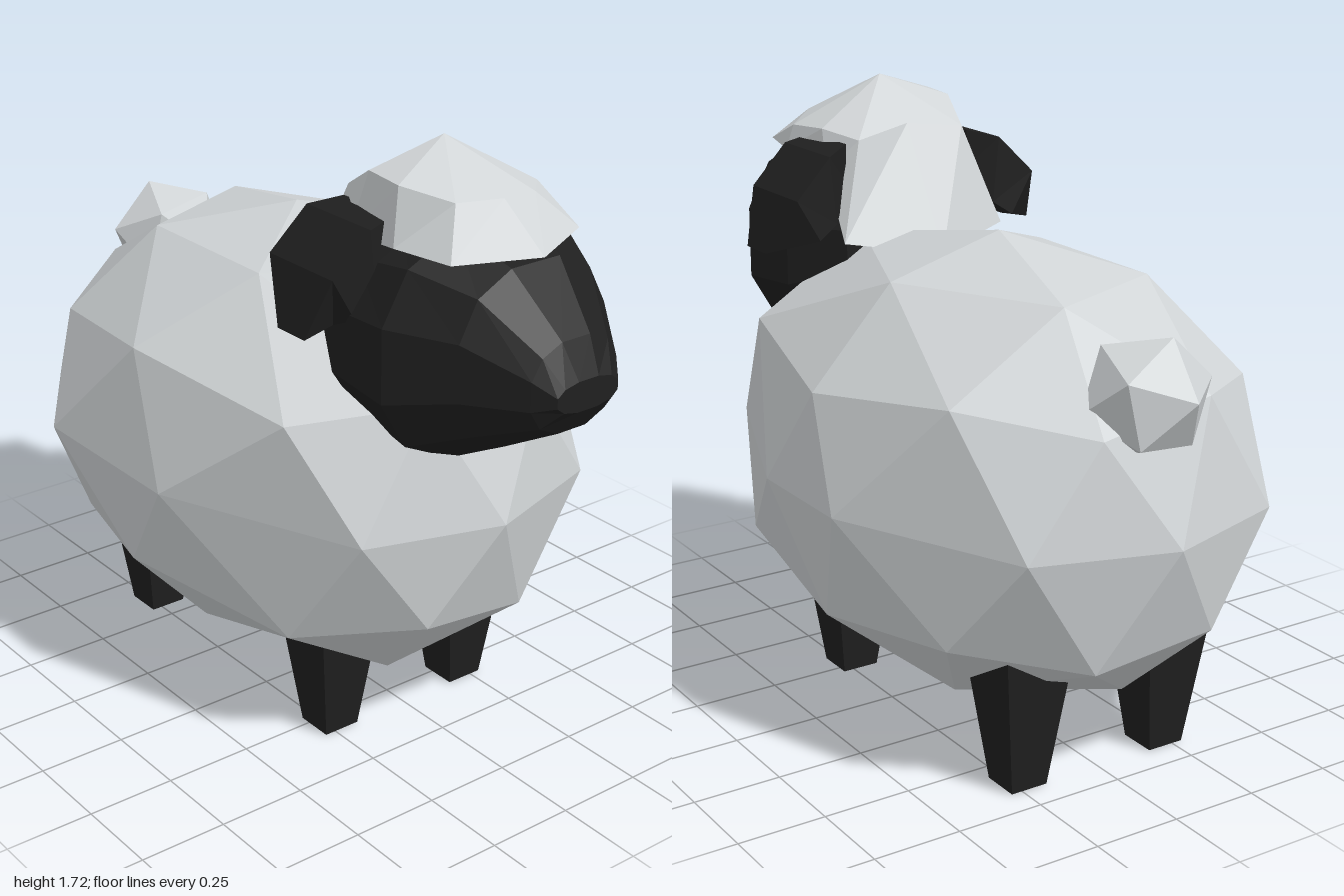
import * as THREE from 'three';

const wool = new THREE.MeshStandardMaterial({ color: 0xd0d4d6 });
wool.name = 'wool';
const black = new THREE.MeshStandardMaterial({ color: 0x1f1f1f });
black.name = 'black skin';

const V = (x, y, z) => new THREE.Vector3(x, y, z);

function part(name, geometry, material) {
  geometry.computeVertexNormals();
  const mesh = new THREE.Mesh(geometry, material);
  mesh.name = name;
  return mesh;
}

// Faceted skin over rings of equal length, closed by fans to the start and end points
function loft(rings, start, end) {
  const n = rings[0].length;
  const centre = (r) => r.reduce((s, p) => s.add(p), V(0, 0, 0)).divideScalar(n);
  const first = rings[0], last = rings[rings.length - 1];
  const a = start || centre(first), b = end || centre(last);
  const tris = [];
  for (let i = 0; i < n; i++) {
    const j = (i + 1) % n;
    tris.push([a, first[j], first[i]], [b, last[i], last[j]]);
    for (let k = 0; k + 1 < rings.length; k++) {
      const p = rings[k], q = rings[k + 1];
      tris.push([p[i], p[j], q[j]], [p[i], q[j], q[i]]);
    }
  }
  // Turn all faces outward
  const mid = a.clone().add(b).multiplyScalar(0.5);
  let volume = 0;
  for (const [p, q, r] of tris) {
    volume += p.clone().sub(mid).dot(q.clone().sub(mid).cross(r.clone().sub(mid)));
  }
  if (volume < 0) tris.forEach((t) => t.reverse());
  return new THREE.BufferGeometry().setFromPoints(tris.flat());
}

// Icosphere with a vertex at the top
function icosphere(detail) {
  const g = new THREE.IcosahedronGeometry(1, detail);
  g.rotateZ(-Math.atan(2 / (1 + Math.sqrt(5))));
  return g;
}

function interpolate(table, t) {
  for (let i = 1; i < table.length; i++) {
    const [t0, v0] = table[i - 1], [t1, v1] = table[i];
    if (t <= t1) return v0 + ((v1 - v0) * (t - t0)) / (t1 - t0);
  }
  return table[table.length - 1][1];
}

// Fleece: an icosphere stretched along z, fuller toward the chest
function bodyGeometry() {
  const g = icosphere(1), p = g.attributes.position;
  const front = [[0, 0], [0.309, 0.2], [0.5, 0.55], [0.526, 0.57], [0.809, 0.78], [1, 0.9]];
  const back = [[0, 0], [0.309, 0.25], [0.5, 0.45], [0.809, 0.7], [1, 0.82]];
  for (let i = 0; i < p.count; i++) {
    const x = p.getX(i), y = p.getY(i), z = p.getZ(i);
    let d = z > 0 ? interpolate(front, z) : -interpolate(back, -z);
    if (z < -0.3 && z > -0.32) d += 0.1 * x;
    p.setXYZ(i, x * 0.648, 0.735 + y * 0.648, -0.17 + d);
  }
  return g;
}

// Head: rounded sections from nape to muzzle [z, half width, bottom, top]
function headGeometry() {
  const sections = [
    [0.25, 0.23, 1.08, 1.45],
    [0.42, 0.33, 0.97, 1.5],
    [0.63, 0.34, 0.925, 1.54],
    [0.8, 0.24, 1.01, 1.48],
    [0.95, 0.14, 1.09, 1.33],
    [1.0, 0.1, 1.16, 1.24],
  ];
  const round = (t) => Math.sign(t) * Math.pow(Math.abs(t), 0.85);
  return loft(sections.map(([z, w, y0, y1]) => {
    const ring = [];
    for (let i = 0; i < 12; i++) {
      const a = ((i + 0.5) / 12) * Math.PI * 2;
      ring.push(V(
        (w * round(Math.cos(a))) / 0.97,
        (y0 + y1) / 2 + (((y1 - y0) / 2) * round(Math.sin(a))) / 0.97,
        z));
    }
    return ring;
  }));
}

// Woolly cap, peaked on top and hanging down the nape
function capGeometry() {
  const rim = [
    V(0, 1.5, 0.83), V(0.2, 1.51, 0.74), V(0.25, 1.51, 0.56), V(0.23, 1.48, 0.36), V(0.26, 1.3, 0.21),
    V(0, 1.26, 0.11),
    V(-0.26, 1.3, 0.21), V(-0.23, 1.48, 0.36), V(-0.25, 1.5, 0.56), V(-0.22, 1.5, 0.74),
  ];
  const crown = [
    V(0, 1.61, 0.68), V(0.12, 1.6, 0.66), V(0.23, 1.58, 0.55), V(0.22, 1.59, 0.4), V(0.17, 1.57, 0.28),
    V(0, 1.6, 0.3),
    V(-0.17, 1.58, 0.28), V(-0.2, 1.65, 0.4), V(-0.22, 1.65, 0.54), V(-0.14, 1.62, 0.66),
  ];
  return loft([rim, crown], V(0, 1.46, 0.5), V(0, 1.72, 0.45));
}

// Drooping ear: sections [outer x, outer y, inner x, inner y, back z, front z]
function earGeometry(side) {
  const sections = [
    [0.2, 1.56, 0.2, 1.45, 0.3, 0.5],
    [0.28, 1.54, 0.26, 1.35, 0.25, 0.51],
    [0.39, 1.43, 0.32, 1.31, 0.24, 0.5],
    [0.44, 1.27, 0.35, 1.29, 0.34, 0.45],
  ];
  return loft(sections.map(([ox, oy, ix, iy, z0, z1]) => [
    V(side * ox, oy, z0), V(side * ox, oy, z1), V(side * ix, iy, z1), V(side * ix, iy, z0),
  ]));
}

// Square leg widening upward
function legGeometry() {
  const square = (h, y) => [V(-h, y, -h), V(h, y, -h), V(h, y, h), V(-h, y, h)];
  return loft([square(0.055, 0), square(0.108, 0.42)]);
}

export function createModel() {
  const model = new THREE.Group();
  model.name = 'sheep';

  model.add(part('body', bodyGeometry(), wool));
  model.add(part('head', headGeometry(), black));
  model.add(part('woolCap', capGeometry(), wool));

  // Tail puff
  const tail = icosphere(0);
  tail.rotateY(0.5).rotateX(-0.35).rotateZ(0.2).scale(0.18, 0.17, 0.165).translate(0.01, 1.1, -0.84);
  model.add(part('tail', tail, wool));

  for (const side of [1, -1]) {
    const label = side > 0 ? 'left' : 'right';
    model.add(part(label + 'Ear', earGeometry(side), black));
    for (const [end, z] of [['Front', 0.275], ['Back', -0.61]]) {
      const leg = part(label + end + 'Leg', legGeometry(), black);
      leg.position.set(side * 0.227, 0, z);
      model.add(leg);
    }
  }
  return model;
}
